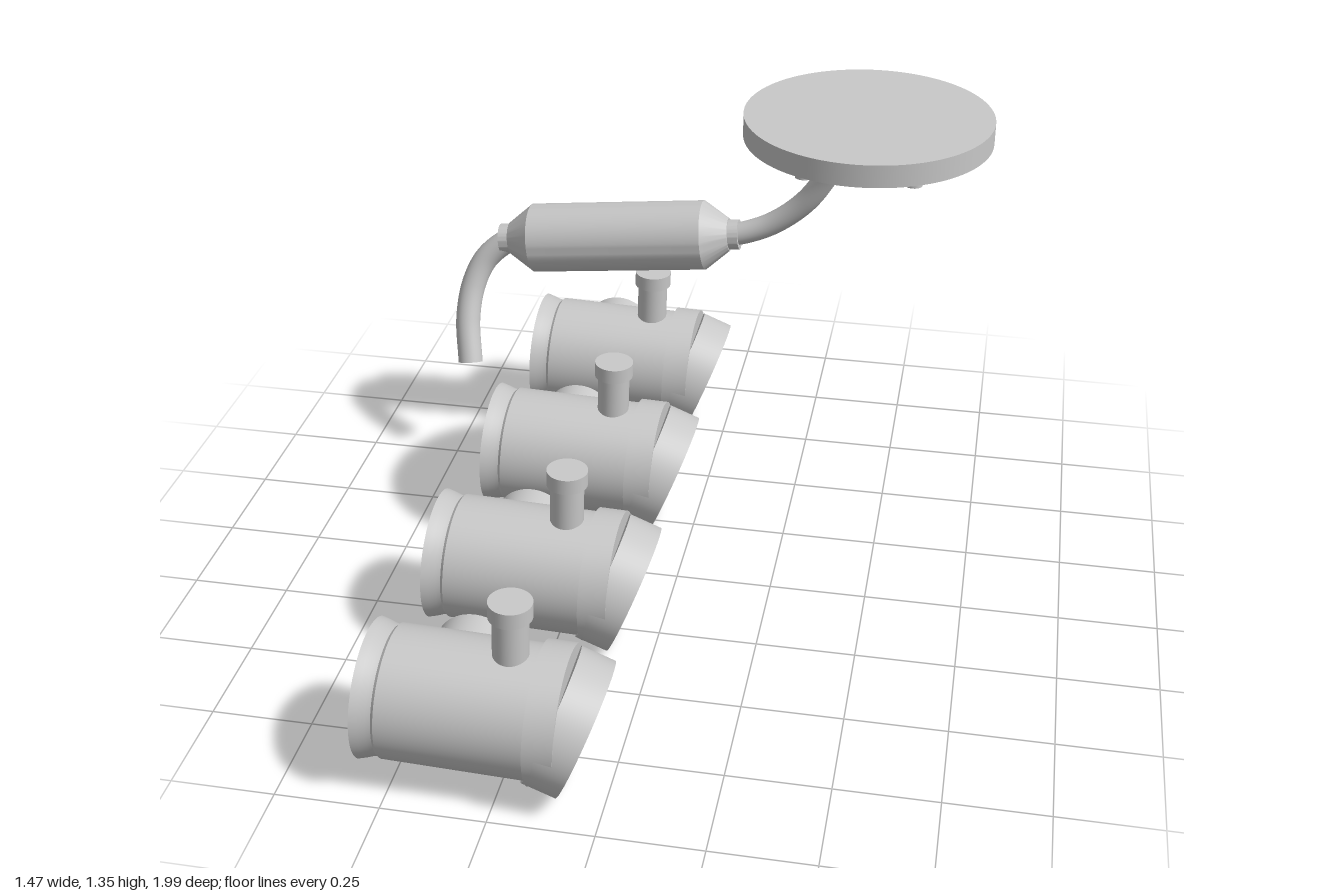
import * as THREE from 'three';
import { toCreasedNormals } from 'three/addons/utils/BufferGeometryUtils.js';

const metal = new THREE.MeshStandardMaterial({ color: 0xc8c8c8 });
metal.name = 'lightGreyMetal';

function add(parent, name, geometry) {
  const mesh = new THREE.Mesh(geometry, metal);
  mesh.name = name;
  parent.add(mesh);
  return mesh;
}

// Turned part along +x from [position, radius] pairs, sharp at steps, closed at both ends
function turned(profile) {
  const closed = [[profile[0][0], 0], ...profile, [profile[profile.length - 1][0], 0]];
  const lathe = new THREE.LatheGeometry(closed.map(([s, r]) => new THREE.Vector2(r, s)), 64);
  return toCreasedNormals(lathe, 0.3).rotateZ(-Math.PI / 2);
}

// Bent pipe with a flat cap on its free (last) end
function pipe(parent, name, points, radius) {
  const curve = new THREE.CatmullRomCurve3(points.map((p) => new THREE.Vector3(...p)));
  const group = new THREE.Group();
  group.name = name;
  add(group, name + 'Tube', new THREE.TubeGeometry(curve, 64, radius, 32));
  const cap = add(group, name + 'End', new THREE.CircleGeometry(radius, 32));
  cap.position.copy(curve.getPoint(1));
  cap.quaternion.setFromUnitVectors(new THREE.Vector3(0, 0, 1), curve.getTangent(1));
  parent.add(group);
}

function createBarrel() {
  const barrel = new THREE.Group();
  barrel.name = 'barrelUnit';

  // Main body with a flared rear lip
  add(barrel, 'body', turned([
    [0, 0.163], [0.018, 0.158], [0.035, 0.152], [0.047, 0.15], [0.054, 0.156], [0.42, 0.156],
  ]));
  add(barrel, 'collar', turned([[0.396, 0.167], [0.466, 0.167]]));

  // Short tilted mouth
  const mouth = add(barrel, 'mouth', turned([[-0.085, 0.167], [0, 0.167]]));
  mouth.position.set(0.504, -0.03, 0);
  mouth.rotation.z = -0.354;

  // Capped stem on top
  const stem = add(barrel, 'stem', new THREE.CylinderGeometry(0.042, 0.042, 0.18, 40));
  stem.position.set(0.331, 0.18, 0);
  const cap = add(barrel, 'stemCap', new THREE.CylinderGeometry(0.051, 0.051, 0.04, 40));
  cap.position.set(0.331, 0.279, 0);

  // Round boss on the back side
  const boss = add(barrel, 'sideBoss', new THREE.CylinderGeometry(0.097, 0.097, 0.12, 48));
  boss.rotation.x = Math.PI / 2;
  boss.position.set(0.195, -0.003, -0.136);

  barrel.rotation.z = -0.035;
  return barrel;
}

export function createModel() {
  const model = new THREE.Group();
  model.name = 'pipeAssembly';

  // Row of four barrels
  for (let i = 0; i < 4; i++) {
    const barrel = createBarrel();
    barrel.position.set(-0.56, 0.21, 0.827 - i * 0.543);
    model.add(barrel);
  }

  // Canister with coned ends and collars
  const canister = new THREE.Group();
  canister.name = 'canister';
  add(canister, 'canisterBody', turned([
    [-0.312, 0.045], [-0.244, 0.0955], [0.244, 0.0955], [0.312, 0.045],
  ]));
  for (const side of [-1, 1]) {
    const collar = add(canister, 'canisterCollar', turned([[-0.018, 0.041], [0.018, 0.041]]));
    collar.position.x = side * 0.322;
  }
  canister.position.set(-0.277, 0.697, -0.61);
  canister.rotation.z = 0.105;
  model.add(canister);

  // Pipes on both ends of the canister
  pipe(model, 'upperPipe', [
    [0.02, 0.728, -0.61], [0.06, 0.735, -0.61], [0.15, 0.773, -0.61], [0.243, 0.853, -0.6],
    [0.32, 0.98, -0.575], [0.373, 1.1, -0.515], [0.41, 1.2, -0.385], [0.447, 1.287, -0.185],
  ], 0.031);
  pipe(model, 'lowerPipe', [
    [-0.57, 0.666, -0.61], [-0.605, 0.65, -0.61], [-0.66, 0.6, -0.597],
    [-0.692, 0.53, -0.57], [-0.702, 0.44, -0.53], [-0.688, 0.325, -0.483],
  ], 0.034);

  // Round plate with six studs underneath
  const plate = new THREE.Group();
  plate.name = 'plate';
  add(plate, 'plateDisc', new THREE.CylinderGeometry(0.287, 0.287, 0.053, 96));
  for (let i = 0; i < 6; i++) {
    const a = (i * Math.PI) / 3;
    const stud = add(plate, 'plateStud', new THREE.CylinderGeometry(0.02, 0.02, 0.03, 24));
    stud.position.set(0.243 * Math.cos(a), -0.03, 0.243 * Math.sin(a));
  }
  plate.position.set(0.448, 1.336, 0.01);
  model.add(plate);

  return model;
}
